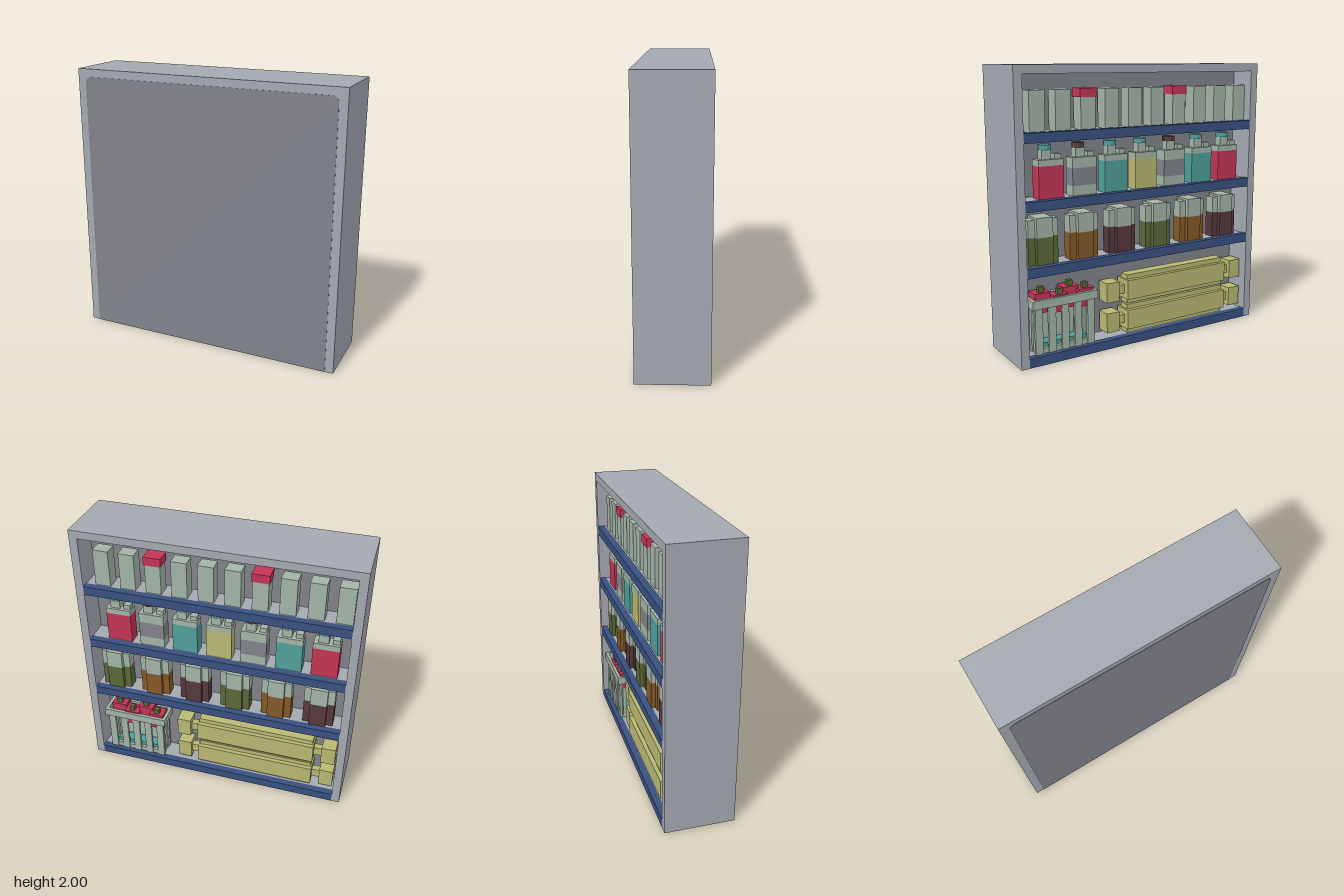
import * as THREE from 'three';

const mat = (name, color) => {
  const m = new THREE.MeshStandardMaterial({ color });
  m.name = name;
  return m;
};

export function createModel() {
  const root = new THREE.Group();
  root.name = 'refrigeratedCabinet';
  const M = {
    steel: mat('steel', 0xa4a9b1),
    dark: mat('darkGrey', 0x80838a),
    blue: mat('blue', 0x385080),
    pale: mat('paleGreen', 0xa3b4a7),
    red: mat('red', 0xc43555),
    teal: mat('teal', 0x509f9a),
    yellow: mat('yellow', 0xb8b873),
    olive: mat('olive', 0x5a6838),
    brown: mat('brown', 0x855828),
    maroon: mat('maroon', 0x56383d),
  };

  const group = (name, x = 0, y = 0, z = 0) => {
    const g = new THREE.Group();
    g.name = name;
    g.position.set(x, y, z);
    root.add(g);
    return g;
  };
  // Box centred on x and z, spanning y0 to y1
  const box = (parent, name, m, w, d, y0, y1, x = 0, z = 0) => {
    const mesh = new THREE.Mesh(new THREE.BoxGeometry(w, y1 - y0, d), m);
    mesh.name = name;
    mesh.position.set(x, (y0 + y1) / 2, z);
    parent.add(mesh);
    return mesh;
  };

  // Cabinet shell, open towards -z
  const shell = group('cabinet');
  box(shell, 'cabinetBody', M.steel, 2, 0.297, 0, 2, 0, 0.0985);
  for (const s of [-1, 1]) box(shell, 'sideWall', M.steel, 0.06, 0.2, 0, 2, s * 0.97, -0.15);
  box(shell, 'topWall', M.steel, 1.88, 0.2, 1.943, 2, 0, -0.15);
  box(shell, 'innerPanel', M.dark, 1.88, 0.004, 0.06, 1.943, 0, -0.052);

  // Front panel with rounded upper corners
  const w = 0.94, h = 1.943, r = 0.045;
  const s = new THREE.Shape();
  s.moveTo(-w, 0);
  s.lineTo(w, 0);
  s.lineTo(w, h - r);
  s.absarc(w - r, h - r, r, 0, Math.PI / 2);
  s.lineTo(-w + r, h);
  s.absarc(-w + r, h - r, r, Math.PI / 2, Math.PI);
  s.lineTo(-w, 0);
  const panel = new THREE.Mesh(
    new THREE.ExtrudeGeometry(s, { depth: 0.003, bevelEnabled: false }), M.dark);
  panel.name = 'frontPanel';
  panel.position.z = 0.247;
  shell.add(panel);

  // Shelves with blue edge strips
  const levels = [0.062, 0.682, 1.125, 1.57];
  for (const y of levels) {
    box(shell, 'shelf', M.steel, 1.88, 0.15, y - 0.06, y, 0, -0.125);
    box(shell, 'shelfEdge', M.blue, 1.88, 0.05, y - 0.062, y + 0.004, 0, -0.225);
  }

  // Top shelf: ten cartons, two with red lids
  for (let k = 0; k < 10; k++) {
    const g = group('carton', 0.815 - 0.188 * k, levels[3], -0.137);
    const lid = k === 2 || k === 6;
    box(g, 'cartonBody', M.pale, 0.112, 0.1, 0, lid ? 0.215 : 0.27);
    if (lid) box(g, 'cartonLid', M.red, 0.124, 0.112, 0.215, 0.275);
  }

  // Second shelf: seven jugs
  const labels = [M.red, M.dark, M.teal, M.yellow, M.dark, M.teal, M.red];
  labels.forEach((label, k) => {
    const g = group('jug', 0.722 - 0.25 * k, levels[2], -0.142);
    const grey = label === M.dark;
    const base = grey ? 0.07 : 0;
    const top = grey ? 0.19 : 0.22;
    if (grey) box(g, 'jugBase', M.pale, 0.184, 0.095, 0, base);
    box(g, 'jugLabel', label, 0.184, 0.095, base, top);
    box(g, 'jugShoulder', M.pale, 0.184, 0.095, top, 0.262);
    box(g, 'jugHandle', M.pale, 0.05, 0.05, 0.262, 0.295, -0.06);
    box(g, 'jugNeck', M.pale, 0.07, 0.06, 0.262, 0.325, 0.025);
    const cap = new THREE.Mesh(
      new THREE.CylinderGeometry(0.045, 0.045, 0.035, 8), grey ? M.maroon : M.teal);
    cap.name = 'jugCap';
    cap.position.set(0.025, 0.342, 0);
    g.add(cap);
  });

  // Third shelf: six jars with a cross-shaped section
  const fills = [M.olive, M.brown, M.maroon];
  for (let k = 0; k < 6; k++) {
    const g = group('jar', 0.785 - 0.31 * k, levels[1], -0.135);
    for (const [bw, bd, top] of [[0.22, 0.08, 0.31], [0.12, 0.14, 0.325]]) {
      box(g, 'jarContents', fills[k % 3], bw, bd, 0, 0.19);
      box(g, 'jarTop', M.pale, bw, bd, 0.19, top);
    }
  }

  // Bottom shelf: slatted basket
  const b = group('basket', 0.65, levels[0], -0.145);
  box(b, 'basketFloor', M.pale, 0.42, 0.13, 0, 0.04);
  for (const z of [-0.075, 0.075]) {
    box(b, 'basketRim', M.pale, 0.5, 0.025, 0.33, 0.39, 0, z);
    for (let k = 0; k < 5; k++)
      box(b, 'basketSlat', M.pale, 0.055, 0.02, 0, 0.34, -0.2 + 0.1 * k, z * 0.85);
  }
  for (const x of [-0.2375, 0.2375]) {
    box(b, 'basketRimEnd', M.pale, 0.025, 0.125, 0.33, 0.39, x);
    for (const z of [-0.03, 0.03])
      box(b, 'basketEndSlat', M.pale, 0.02, 0.03, 0, 0.34, x * 0.88, z);
  }
  box(b, 'basketTray', M.teal, 0.36, 0.08, 0.04, 0.07);

  // Fruit with green stalks in the basket
  const fruit = [[0.15, 0.02, 0.42], [0.03, -0.02, 0.4], [-0.07, 0.025, 0.43], [-0.17, -0.015, 0.41]];
  for (const [x, z, top] of fruit) {
    box(b, 'fruit', M.red, 0.115, 0.1, 0.28, top, x, z);
    box(b, 'fruitStalk', M.olive, 0.04, 0.035, top, top + 0.04, x, z - 0.015);
  }

  // Bottom shelf: two stacked wrapped rolls
  for (const y of [0, 0.225]) {
    const g = group('wrappedRoll', -0.31, levels[0] + y, -0.14);
    box(g, 'rollCore', M.yellow, 0.88, 0.08, 0, 0.215);
    box(g, 'rollWaist', M.yellow, 0.9, 0.14, 0.035, 0.18);
    for (const side of [-1, 1]) {
      box(g, 'rollTwist', M.yellow, 0.09, 0.05, 0.075, 0.14, side * 0.48);
      box(g, 'rollEnd', M.yellow, 0.105, 0.11, 0.035, 0.18, side * 0.563);
    }
  }
  return root;
}
